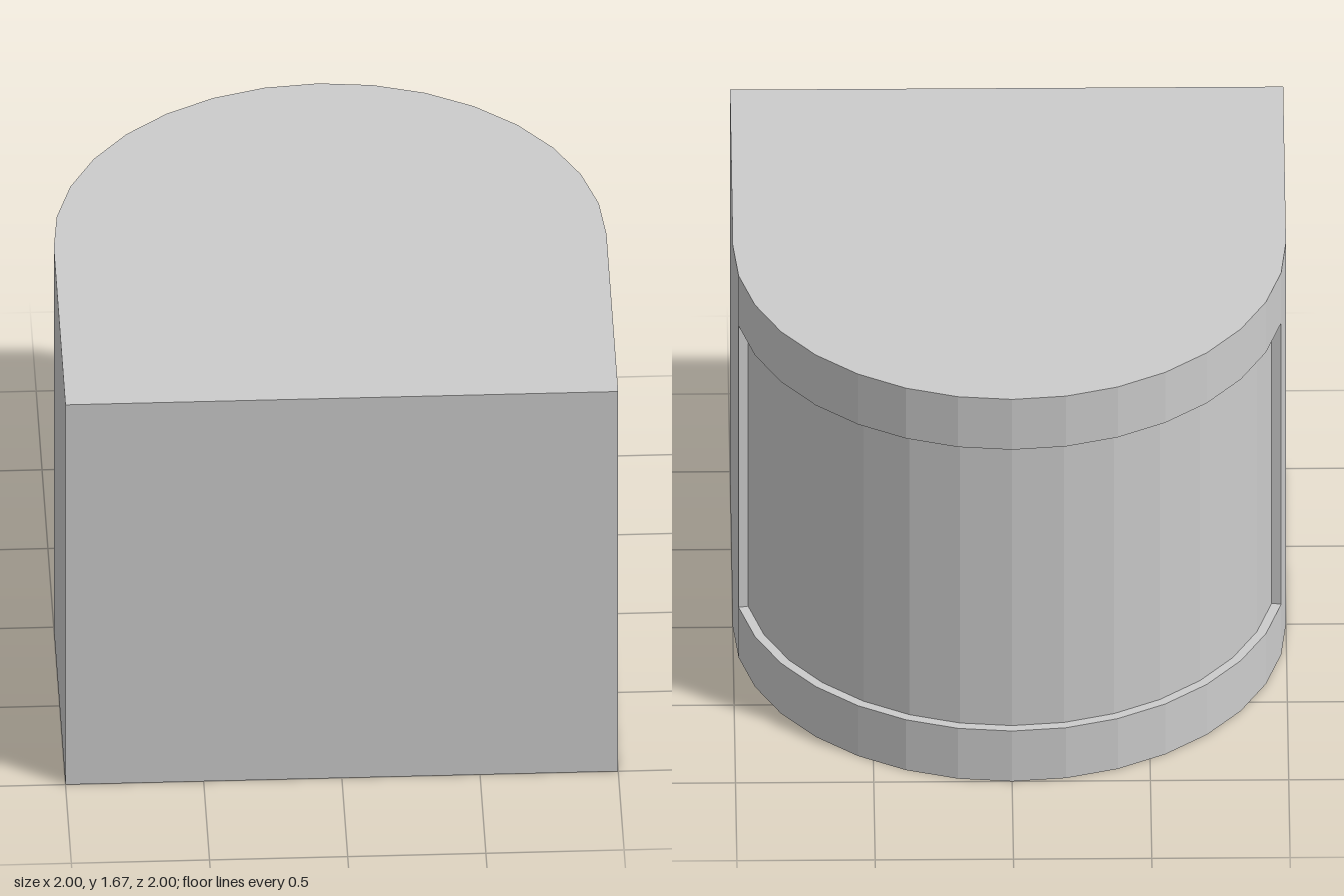
import * as THREE from 'three';

const SEGMENTS = 16;         // facets around the rounded back
const HEIGHT = 1.67;
const BAND = 0.22;           // height of the full-size bands above and below the recess
const RECESS_RADIUS = 0.965;

// Point k on the half circle at the back, from the +x side to the -x side
const arcPoint = (k, radius) => {
  const a = (k / SEGMENTS) * Math.PI;
  return new THREE.Vector2(Math.cos(a) * radius, Math.sin(a) * radius);
};

// D-shaped plan: square front, faceted round back
function outline(recessed) {
  const points = [new THREE.Vector2(-1, -1), new THREE.Vector2(1, -1)];
  for (let k = 0; k <= SEGMENTS; k++) {
    const inRecess = recessed && k >= 1 && k <= SEGMENTS - 1;
    // The recess starts and ends with a small radial step
    if (recessed && k === 1) points.push(arcPoint(k, 1));
    points.push(arcPoint(k, inRecess ? RECESS_RADIUS : 1));
    if (recessed && k === SEGMENTS - 1) points.push(arcPoint(k, 1));
  }
  return new THREE.Shape(points);
}

export function createModel() {
  const group = new THREE.Group();
  group.name = 'roundBackedBlock';
  const material = new THREE.MeshStandardMaterial({ color: 0xcccccc, flatShading: true });

  const addLayer = (name, bottom, top, recessed) => {
    const geometry = new THREE.ExtrudeGeometry(outline(recessed), {
      depth: top - bottom,
      bevelEnabled: false,
    });
    geometry.rotateX(-Math.PI / 2);
    const mesh = new THREE.Mesh(geometry, material);
    mesh.name = name;
    mesh.position.y = bottom;
    group.add(mesh);
  };

  addLayer('bottomBand', 0, BAND, false);
  addLayer('recessedMiddle', BAND, HEIGHT - BAND, true);
  addLayer('topBand', HEIGHT - BAND, HEIGHT, false);
  return group;
}
